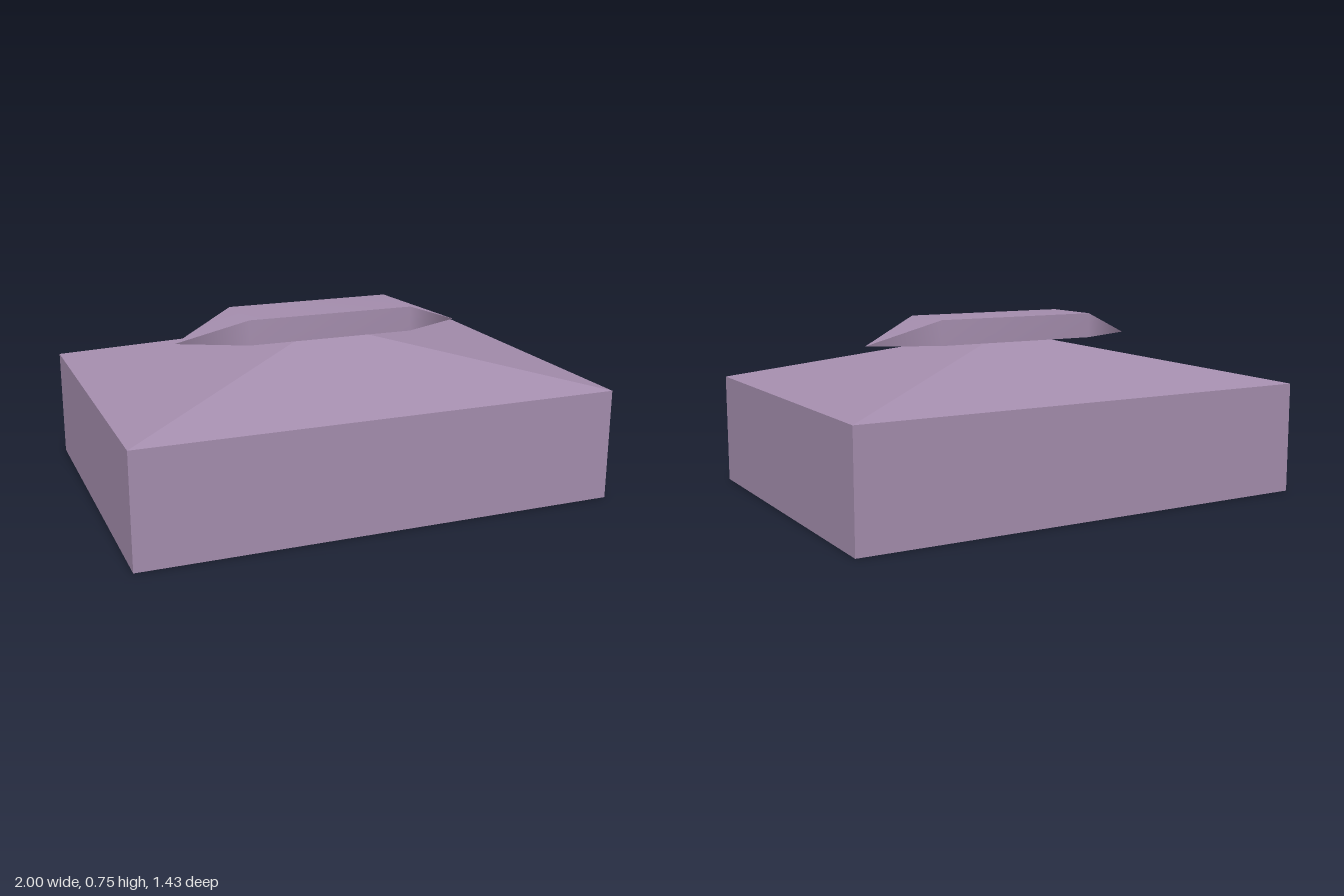
import * as THREE from 'three';

const mauve = new THREE.MeshStandardMaterial({ color: 0xa48dad });
mauve.name = 'mauve';

// Box base whose upper segment tapers into a shallow hipped lid
function bodyGeometry() {
  const geo = new THREE.BoxGeometry(2, 2, 1.43, 1, 2, 1);
  const pos = geo.attributes.position;
  for (let i = 0; i < pos.count; i++) {
    const level = Math.round(pos.getY(i)) + 1;
    pos.setY(i, [0, 0.465, 0.645][level]);
    if (level === 2) {
      pos.setX(i, Math.sign(pos.getX(i)) * 0.165);
      pos.setZ(i, Math.sign(pos.getZ(i)) * 0.135);
    }
  }
  const flat = geo.toNonIndexed();
  flat.computeVertexNormals();
  return flat;
}

// Pointed bar: hexagonal underside, rectangular top, ends sloping down to tips
function handleGeometry() {
  const x = 0.36, z = 0.137, tip = 0.64, low = 0.645, high = 0.75;
  const top = [[x, high, z], [x, high, -z], [-x, high, -z], [-x, high, z]];
  const bottom = [[x, low, z], [x, low, -z], [-x, low, -z], [-x, low, z]];
  const tips = [[tip, low, 0], [-tip, low, 0]];
  const ring = [...top, ...bottom, ...tips];
  const points = [], index = [];
  // Each face group gets its own vertices: smooth inside, sharp between groups
  const addGroup = (faces) => {
    const start = points.length / 3;
    points.push(...ring.flat());
    faces.forEach((face) => {
      for (let i = 1; i < face.length - 1; i++) {
        index.push(start + face[0], start + face[i], start + face[i + 1]);
      }
    });
  };
  addGroup([[0, 1, 2, 3], [0, 8, 1], [2, 9, 3]]); // top and sloping ends
  addGroup([[7, 4, 0, 3], [5, 6, 2, 1], [4, 8, 0], [8, 5, 1], [6, 9, 2], [9, 7, 3]]); // sides
  addGroup([[8, 4, 7, 9, 6, 5]]); // underside
  const geo = new THREE.BufferGeometry();
  geo.setAttribute('position', new THREE.Float32BufferAttribute(points, 3));
  geo.setIndex(index);
  geo.computeVertexNormals();
  return geo;
}

export function createModel() {
  const model = new THREE.Group();
  model.name = 'liddedBox';
  const add = (name, geo) => {
    const mesh = new THREE.Mesh(geo, mauve);
    mesh.name = name;
    model.add(mesh);
  };
  add('body', bodyGeometry());
  add('handle', handleGeometry());
  return model;
}
